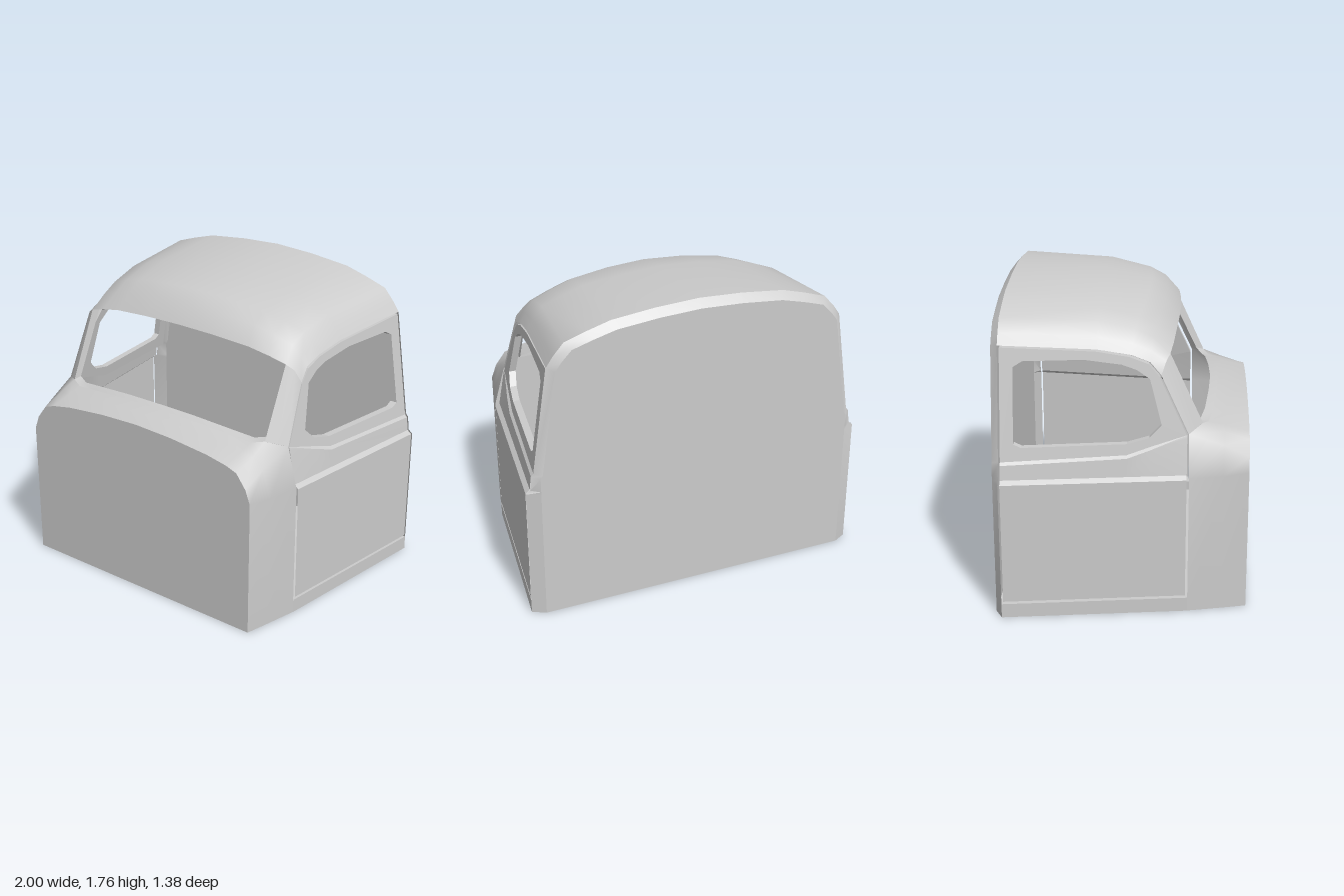
import * as THREE from 'three';
import { toCreasedNormals } from 'three/addons/utils/BufferGeometryUtils.js';

const material = new THREE.MeshStandardMaterial({ color: 0xcccccc, side: THREE.DoubleSide });

// Half width of the lower body, and of the leaning side above the belt line
const lowerX = z => 0.867 + (0.365 - z) * 0.131;
const upperX = (y, z) => lowerX(z) - 0.05 - 0.15 * (y - 0.9);

const flipX = ([x, y, z]) => [-x, y, z];
// Completes a half row (left edge to centre line) to the full width
const full = half => [...half, ...half.slice(0, -1).reverse().map(flipX)];

// Surface through rows of points; crease 0 keeps it fully smooth
function sheet(rows, crease = 0) {
  const n = rows[0].length, index = [];
  for (let i = 0; i < rows.length - 1; i++) {
    for (let j = 0; j < n - 1; j++) {
      const a = i * n + j, d = a + n;
      index.push(a, a + 1, d, a + 1, d + 1, d);
    }
  }
  const geo = new THREE.BufferGeometry();
  geo.setAttribute('position', new THREE.Float32BufferAttribute(rows.flat(2), 3));
  geo.setIndex(index);
  geo.computeVertexNormals();
  return crease ? toCreasedNormals(geo, crease) : geo;
}

// Mirrored copy with the corner order restored
function mirrored(geo) {
  const g = geo.clone().scale(-1, 1, 1);
  const src = g.index ? [...g.index.array] : [...Array(g.attributes.position.count).keys()];
  for (let i = 0; i < src.length; i += 3) [src[i + 1], src[i + 2]] = [src[i + 2], src[i + 1]];
  g.setIndex(src);
  return g;
}

export function createModel() {
  const group = new THREE.Group();
  const add = (name, geo) => {
    const mesh = new THREE.Mesh(geo, material);
    mesh.name = name;
    group.add(mesh);
  };
  const addPair = (name, geo) => {
    add(name + 'Left', geo);
    add(name + 'Right', mirrored(geo));
  };

  // Seam between roof, windscreen pillar and door: [z, y]
  const seam = [[-0.65, 1.515], [-0.13, 1.483], [0.05, 1.45], [0.15, 1.41], [0.21, 1.34], [0.36, 1.02]];

  // Roof: crowned rows from the rear edge to the lip above the windscreen
  const fx = [1, 0.955, 0.885, 0.74, 0.58, 0.29, 0];
  const fy = [0, 0.23, 0.51, 0.68, 0.84, 0.95, 1];
  const crown = [[-0.65, 1.76], [-0.13, 1.74], [0.13, 1.68], [0.22, 1.63]];
  const roof = crown.map(([zc, yc], i) => {
    const [zs, ys] = seam[i];
    return fx.map((f, j) => [upperX(ys, zs) * f, ys + (yc - ys) * fy[j], zs + (zc - zs) * (1 - f * f)]);
  });
  const lip = [
    [0.775, 1.34, 0.21], [0.745, 1.41, 0.235], [0.7, 1.44, 0.255], [0.6, 1.47, 0.27],
    [0.47, 1.495, 0.28], [0.24, 1.513, 0.293], [0, 1.52, 0.3]];
  add('roof', sheet([...roof, lip].map(full)));

  // Cowl: windscreen base, ridge row and front edge, running down to the floor at the sides
  const base = [
    [0.866, 0, 0.365], [0.866, 0.79, 0.365], [0.803, 1.02, 0.36], [0.7, 1.05, 0.435],
    [0.63, 1.035, 0.465], [0.5, 1.055, 0.49], [0.25, 1.077, 0.51], [0, 1.085, 0.52]];
  const middle = [
    [0.822, 0, 0.55], [0.825, 0.79, 0.55], [0.775, 0.95, 0.55], [0.705, 1.005, 0.55],
    [0.63, 1.015, 0.56], [0.5, 1.035, 0.565], [0.25, 1.05, 0.57], [0, 1.055, 0.57]];
  const front = [
    [0.787, 0, 0.69], [0.79, 0.8, 0.69], [0.76, 0.88, 0.69], [0.7, 0.96, 0.69],
    [0.63, 0.985, 0.69], [0.5, 1.01, 0.69], [0.25, 1.035, 0.69], [0, 1.045, 0.69]];
  add('cowl', sheet([base, middle, front].map(full)));
  add('frontPanel', sheet(front.map(p => [flipX(p), p])));

  // Windscreen pillars and the inner edge of the opening
  addPair('windscreenPillar', sheet([lip.slice(0, 3), [base[2], [0.75, 1.037, 0.4], base[3]]]));
  const opening = [...full(lip.slice(2)), ...full(base.slice(3)).reverse(), lip[2]];
  add('windscreenFrame', sheet([
    opening,
    opening.map(([x, y, z]) => [x * 0.985, y + (1.25 - y) * 0.05, z - 0.045]),
  ], 0.6));

  // Rear frame bevel and flat back panel
  const rearOuter = [
    [1, 0, -0.65], [1, 0.78, -0.65], [0.975, 0.8, -0.65], [0.965, 0.88, -0.65], [0.95, 0.9, -0.65],
    ...roof[0]];
  const rearInner = rearOuter.map(([x, y]) =>
    [Math.min(x * 0.96, 0.925), y > 1.5 ? y - 0.045 * (y - 1.4) / 0.36 : y, -0.69]);
  add('rearFrame', sheet([full(rearInner), full(rearOuter)], 0.6));
  add('backPanel', sheet(rearInner.map(p => [p, flipX(p)])));

  // Floor
  add('floor', sheet([rearInner[0], rearOuter[0], base[0], front[0]].map(p => [flipX(p), p])));

  // Sill below each door, with its top ledge
  const sillEnds = [0.365, -0.65];
  addPair('sill', sheet([[0, 0], [0.08, 0], [0.08, 0.05]].map(([y, s]) =>
    sillEnds.map(z => [lowerX(z) - s, y, z])), 0.5));

  // Lower door: flat panel, ledge and belt moulding sweeping up to the front
  const beltZ = [0.352, 0.15, 0.03, -0.64];
  const beltY = [1.0, 0.94, 0.9, 0.88];
  const beltIn = [0.062, 0.045, 0.037, 0.035];
  const doorRow = (y, s) => beltZ.map(z => [lowerX(z) - s, y, z]);
  addPair('lowerDoor', sheet([
    doorRow(0.095, 0.045), doorRow(0.095, 0), doorRow(0.78, 0), doorRow(0.8, 0.025),
    beltZ.map((z, i) => [lowerX(z) - beltIn[i], beltY[i], z]),
    beltZ.map((z, i) => [upperX(beltY[i] + 0.015, z), beltY[i] + 0.015, z]),
  ], 0.3));

  // Upper door: leaning frame around the side window
  const toShape = ([z, y]) => new THREE.Vector2(-z, y);
  const outline = [
    ...seam.map(([z, y], i) => [i ? z - 0.008 : -0.64, y - 0.011]),
    ...beltZ.map((z, i) => [z, beltY[i] + 0.013])];
  const windowOutline = [
    [0.215, 1.07], [0.15, 1.005], [0.03, 0.975], [-0.53, 0.97], [-0.57, 0.99], [-0.57, 1.4],
    [-0.52, 1.43], [-0.2, 1.43], [0, 1.4], [0.08, 1.37], [0.15, 1.32]];
  const shape = new THREE.Shape(outline.map(toShape));
  shape.holes.push(new THREE.Path(windowOutline.map(toShape)));
  const thickness = 0.04;
  const door = new THREE.ExtrudeGeometry(shape, { depth: thickness, bevelEnabled: false });
  const pos = door.attributes.position;
  for (let i = 0; i < pos.count; i++) {
    const z = -pos.getX(i), y = pos.getY(i);
    pos.setXYZ(i, upperX(y, z) - thickness + pos.getZ(i), y, z);
  }
  door.computeVertexNormals();
  addPair('upperDoor', door);

  return group;
}
